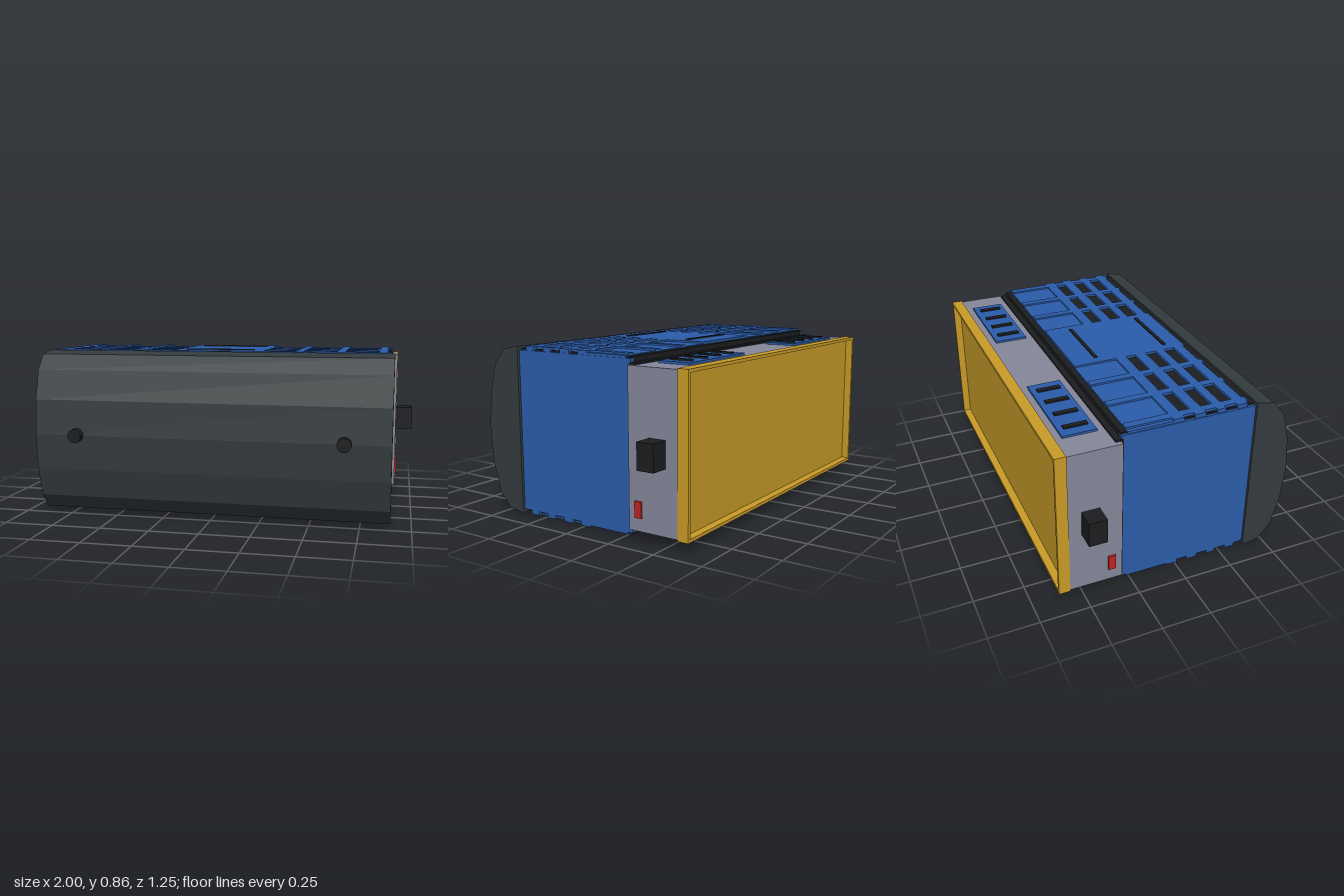
import * as THREE from 'three';

const mat = (color) => new THREE.MeshStandardMaterial({ color, flatShading: true });

export function createModel() {
  const root = new THREE.Group();
  const blue = mat(0x2b5caa), black = mat(0x1c1d1f), slate = mat(0x343b3e);
  const grey = mat(0x85879b), yellow = mat(0xc99c28), red = mat(0xc02424);
  const MID = 0.433; // the whole body is symmetric about this height

  const add = (name, geometry, material) => {
    const mesh = new THREE.Mesh(geometry, material);
    mesh.name = name;
    root.add(mesh);
    return mesh;
  };
  // Box from its limits, with y measured from the middle height
  const box = (name, m, x0, x1, y0, y1, z0, z1) => {
    const mesh = add(name, new THREE.BoxGeometry(Math.abs(x1 - x0), Math.abs(y1 - y0), z1 - z0), m);
    mesh.position.set((x0 + x1) / 2, MID + (y0 + y1) / 2, (z0 + z1) / 2);
    return mesh;
  };

  // Faceted front cap, extruded across x
  const half = [[0.38, 0.422], [0.47, 0.405], [0.535, 0.328], [0.575, 0.178]];
  const cap = new THREE.Shape();
  half.forEach(([z, y], i) => (i ? cap.lineTo(-z, y) : cap.moveTo(-z, y)));
  cap.lineTo(-0.59, 0);
  half.slice().reverse().forEach(([z, y]) => cap.lineTo(-z, -y));
  const capGeo = new THREE.ExtrudeGeometry(cap, { depth: 1.796, bevelEnabled: false });
  capGeo.translate(0, 0, -0.898).rotateY(Math.PI / 2);
  add('frontCap', capGeo, slate).position.y = MID;

  // Main body: dark core with blue flanks
  box('bodyCore', black, -0.87, 0.87, -0.411, 0.411, -0.3, 0.38);
  box('gasket', black, -0.885, 0.885, -0.386, 0.386, -0.33, -0.29);

  // Rear section
  box('rearSection', grey, -0.908, 0.908, -0.377, 0.377, -0.57, -0.302);

  // Rear tray: thin rim around a recessed panel
  const W = 0.912, H = 0.382, T = 0.016;
  box('rearPanel', yellow, -W + T, W - T, -H + T, H - T, -0.585, -0.565);
  for (const s of [-1, 1]) {
    box('rearRimSide', yellow, s * (W - T), s * W, -H, H, -0.625, -0.569);
    box('rearRimEdge', yellow, -W + T, W - T, s * (H - T), s * H, -0.625, -0.569);
  }

  const ribs = [[0.2, 0.23], [0.4, 0.44], [0.61, 0.65], [0.82, 0.86]];
  const bars = [[-0.045, 0.01], [0.065, 0.12], [0.18, 0.225], [0.285, 0.337]];
  const gaps = [[0.23, 0.4], [0.44, 0.61], [0.65, 0.82], [0.86, 0.88]];
  const slits = [0.34, 0.457, 0.577, 0.7];

  for (const sy of [-1, 1]) {
    // Centre hatch with two raised strips
    box('hatch', blue, -0.2, 0.2, sy * 0.4, sy * 0.424, -0.27, 0.35);
    for (const z of [-0.137, 0.253]) {
      box('hatchStrip', black, -0.182, 0.182, sy * 0.42, sy * 0.43, z - 0.009, z + 0.009);
    }
    for (const sx of [-1, 1]) {
      // Vent lattice
      for (const [a, b] of ribs) box('ventRib', blue, sx * a, sx * b, sy * 0.4, sy * 0.424, -0.27, 0.35);
      for (const [i, [a, b]] of gaps.entries()) {
        for (const [z0, z1] of bars) box('ventBar', blue, sx * a, sx * b, sy * 0.4, sy * 0.424, z0, z1);
        box('sunkPanel' + i, blue, sx * a, sx * b, sy * 0.4, sy * 0.415, -0.27, -0.045);
      }
      // Slotted patches on the rear section
      box('rearPatch', blue, sx * 0.272, sx * 0.765, sy * 0.37, sy * 0.388, -0.535, -0.367);
      for (const x of slits) {
        box('rearSlit', black, sx * (x - 0.013), sx * (x + 0.013), sy * 0.38, sy * 0.396, -0.507, -0.39);
      }
    }
  }

  for (const sx of [-1, 1]) {
    box('flank', blue, sx * 0.86, sx * 0.884, -0.403, 0.403, -0.3, 0.38);
    box('sideLug', black, sx * 0.9, sx, -0.065, 0.063, -0.505, -0.415);
    box('sideLamp', red, sx * 0.9, sx * 0.918, -0.313, -0.235, -0.375, -0.338);
    // Round studs on the front cap
    const stud = add('frontStud', new THREE.CylinderGeometry(0.035, 0.035, 0.07, 16), black);
    stud.rotation.x = Math.PI / 2;
    stud.position.set(sx * 0.675, 0.435, 0.59);
  }
  return root;
}
